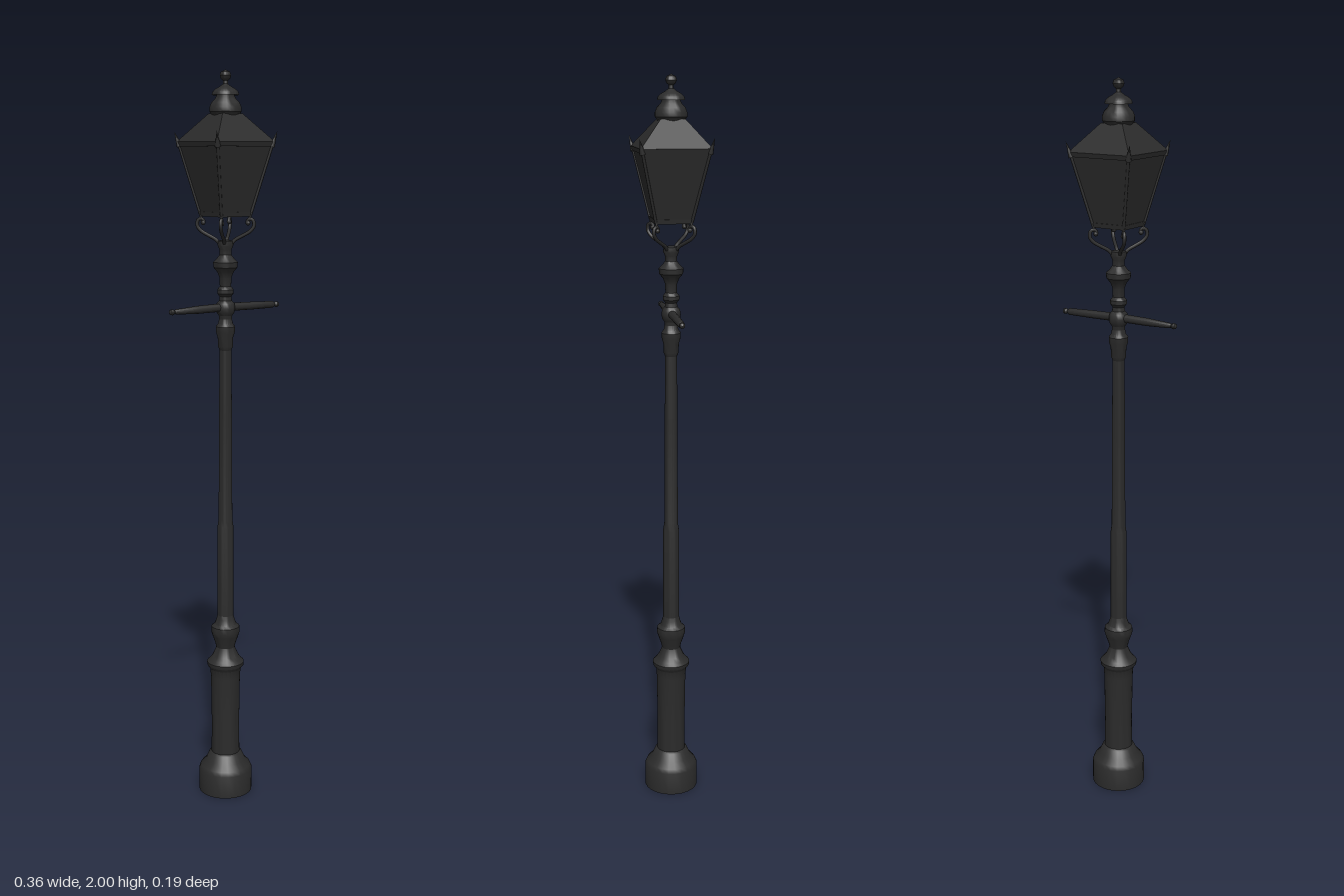
import * as THREE from 'three';
import { toCreasedNormals } from 'three/addons/utils/BufferGeometryUtils.js';

const iron = new THREE.MeshStandardMaterial({ color: 0x2b2b2b });
iron.name = 'black iron';

function add(parent, name, geometry) {
  const mesh = new THREE.Mesh(geometry, iron);
  mesh.name = name;
  parent.add(mesh);
  return mesh;
}

// Turned part from [radius, height] pairs
function turned(profile, sides = 24) {
  const points = profile.map(([r, y]) => new THREE.Vector2(r, y));
  return toCreasedNormals(new THREE.LatheGeometry(points, sides), 0.6);
}

// Square tapered block from half widths, with flat sides
function squareTaper(bottom, top, y0, y1, open = false) {
  const g = new THREE.CylinderGeometry(top * Math.SQRT2, bottom * Math.SQRT2, y1 - y0, 4, 1, open);
  g.rotateY(Math.PI / 4).translate(0, (y0 + y1) / 2, 0);
  return toCreasedNormals(g, 0.3);
}

function tube(points, radius, segments = 20) {
  const curve = new THREE.CatmullRomCurve3(points.map(([x, y]) => new THREE.Vector3(x, y, 0)));
  return new THREE.TubeGeometry(curve, segments, radius, 8);
}

export function createModel() {
  const model = new THREE.Group();
  model.name = 'streetLamp';

  // Plinth and pedestal
  add(model, 'plinth', turned([[0, 0], [0.075, 0], [0.075, 0.064], [0.07, 0.076],
    [0.055, 0.092], [0.046, 0.112], [0.04, 0.116]]));
  add(model, 'pedestal', turned([[0.04, 0.11], [0.039, 0.2], [0.041, 0.34], [0.043, 0.366],
    [0.051, 0.376], [0.052, 0.386], [0.044, 0.394], [0.036, 0.405], [0.027, 0.425], [0.025, 0.432]]));
  add(model, 'vase', turned([[0.025, 0.425], [0.029, 0.442], [0.036, 0.462], [0.04, 0.475],
    [0.039, 0.49], [0.03, 0.497], [0.025, 0.512], [0.022, 0.525]]));

  // Tapered column
  add(model, 'shaft', turned([[0.0225, 0.51], [0.022, 0.78], [0.019, 0.8], [0.0175, 1.1], [0.016, 1.285]]));

  // Collars above the column
  add(model, 'lowerCollar', turned([[0.016, 1.27], [0.02, 1.28], [0.021, 1.305], [0.025, 1.318],
    [0.026, 1.334], [0.02, 1.342], [0.017, 1.356]]));
  add(model, 'crossbarCollar', turned([[0.017, 1.35], [0.018, 1.364], [0.024, 1.372], [0.026, 1.384],
    [0.024, 1.396], [0.017, 1.404], [0.016, 1.415], [0.022, 1.423], [0.022, 1.433], [0.015, 1.442]]));
  add(model, 'upperCollar', turned([[0.015, 1.435], [0.016, 1.465], [0.022, 1.48], [0.032, 1.492],
    [0.033, 1.506], [0.024, 1.514], [0.016, 1.525], [0.016, 1.538], [0.021, 1.55], [0.02, 1.562], [0, 1.566]]));

  // Ladder crossbar, with a knob at each end
  for (const side of [-1, 1]) {
    const arm = add(model, side > 0 ? 'leftCrossbar' : 'rightCrossbar', turned([[0.011, 0.01], [0.0105, 0.09],
      [side > 0 ? 0.009 : 0.007, 0.158], [0.005, 0.164], [0.008, 0.17], [0.007, 0.176], [0, 0.181]], 14));
    arm.rotation.z = -side * Math.PI / 2 - side * 0.015;
    arm.position.y = 1.386;
  }

  // Curled brackets and horns at the four lantern corners
  for (let i = 0; i < 4; i++) {
    const corner = new THREE.Group();
    corner.name = 'corner' + (i + 1);
    corner.rotation.y = Math.PI / 4 + i * Math.PI / 2;
    add(corner, 'bracket', tube([[0.014, 1.552], [0.026, 1.565], [0.046, 1.576], [0.066, 1.588],
      [0.076, 1.602], [0.073, 1.617], [0.061, 1.619], [0.058, 1.61]], 0.0048));
    add(corner, 'bracketScroll', new THREE.SphereGeometry(0.0065, 10, 8)).position.set(0.06, 1.609, 0);
    add(corner, 'bracketPin', tube([[0.066, 1.614], [0.064, 1.634]], 0.004, 1));
    add(corner, 'cornerRib', tube([[0.067, 1.63], [0.125, 1.815]], 0.004, 1));
    const horn = add(corner, 'horn', new THREE.ConeGeometry(0.008, 0.042, 8));
    horn.position.set(0.129, 1.825, 0);
    horn.rotation.z = -0.35;
    model.add(corner);
  }

  // Lantern body, rims and roof
  add(model, 'lanternBody', squareTaper(0.047, 0.088, 1.63, 1.812));
  add(model, 'lanternFloorRim', squareTaper(0.049, 0.051, 1.626, 1.638));
  add(model, 'eaves', squareTaper(0.09, 0.093, 1.806, 1.818));
  add(model, 'roof', squareTaper(0.092, 0.032, 1.818, 1.889));

  // Vented chimney and finial
  add(model, 'chimney', turned([[0.034, 1.87], [0.036, 1.886], [0.042, 1.894], [0.042, 1.905],
    [0.037, 1.917], [0.028, 1.926], [0.024, 1.934], [0.024, 1.938], [0.036, 1.936],
    [0.034, 1.944], [0.025, 1.952], [0.014, 1.958], [0.007, 1.964], [0.006, 1.972],
    [0.012, 1.977], [0.015, 1.985], [0.012, 1.994], [0, 2]]));

  return model;
}
